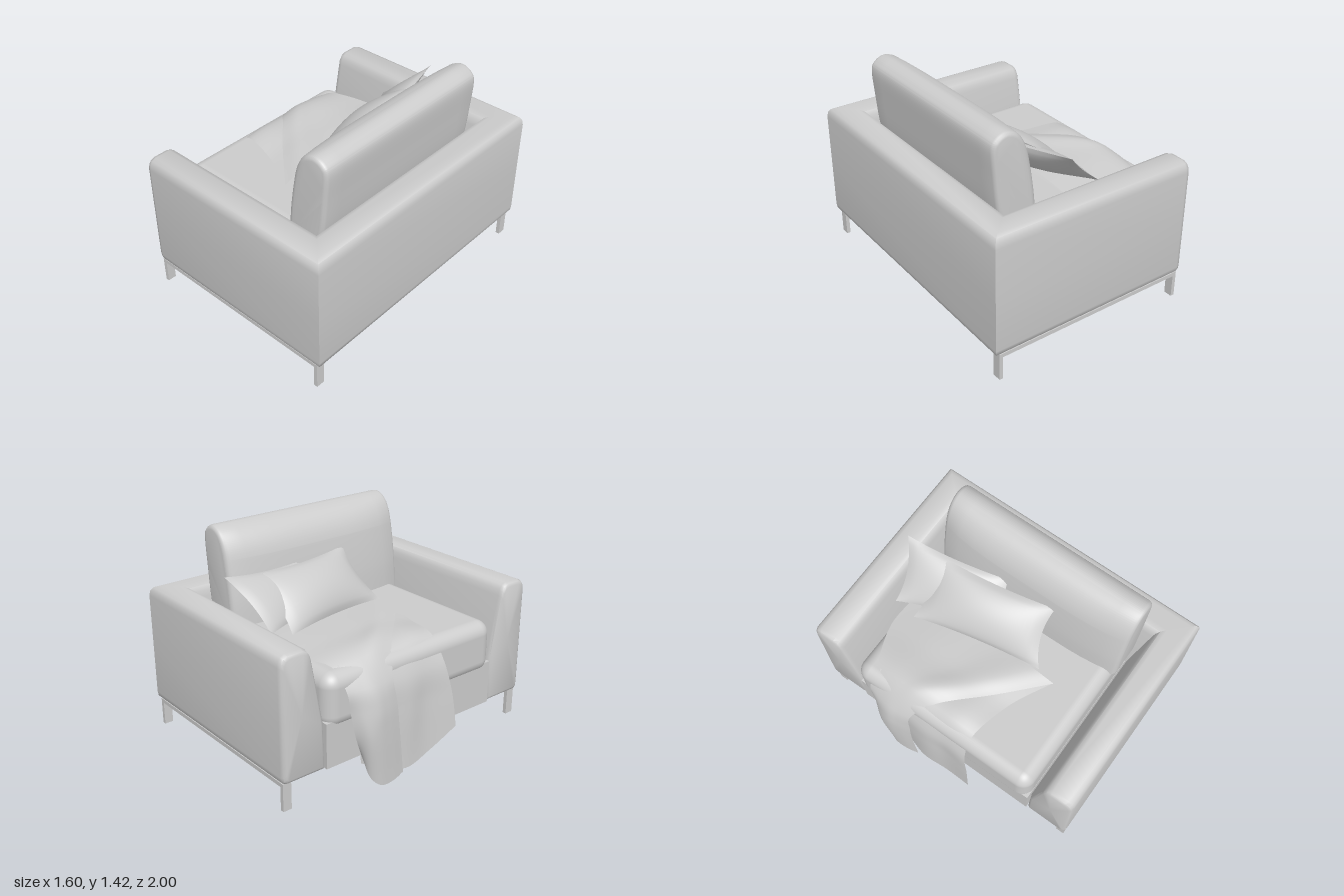
import * as THREE from 'three';
import { toCreasedNormals } from 'three/addons/utils/BufferGeometryUtils.js';
import { RoundedBoxGeometry } from 'three/addons/geometries/RoundedBoxGeometry.js';

const grey = new THREE.MeshStandardMaterial({ color: 0xcccccc, side: THREE.DoubleSide });
grey.name = 'grey fabric';

// Smooth surface through a grid of points given by fn(i, j)
function gridGeometry(ni, nj, fn) {
  const pos = [], index = [];
  for (let i = 0; i <= ni; i++) for (let j = 0; j <= nj; j++) pos.push(...fn(i, j));
  for (let i = 0; i < ni; i++) for (let j = 0; j < nj; j++) {
    const a = i * (nj + 1) + j, d = a + nj + 1;
    index.push(a, a + 1, d + 1, a, d + 1, d);
  }
  const g = new THREE.BufferGeometry();
  g.setAttribute('position', new THREE.Float32BufferAttribute(pos, 3));
  g.setIndex(index);
  g.computeVertexNormals();
  return g;
}

// Cloth sheet splined through rows of [x, y, z] points
function cloth(rows, ni = 36, nj = 28) {
  const curves = rows.map(r => new THREE.CatmullRomCurve3(r.map(p => new THREE.Vector3(...p))));
  const cols = [];
  for (let j = 0; j <= nj; j++) cols.push(new THREE.CatmullRomCurve3(curves.map(c => c.getPoint(j / nj))));
  return gridGeometry(ni, nj, (i, j) => cols[j].getPoint(i / ni).toArray());
}

// Puffed cushion between four corners, with sides pinched inward
function pillow(corners, puff) {
  const c = corners.map(p => new THREE.Vector3(...p));
  const normal = c[1].clone().sub(c[3]).cross(c[2].clone().sub(c[0])).normalize();
  const n = 20;
  const side = s => gridGeometry(n, n, (i, j) => {
    const u0 = i / n * 2 - 1, v0 = j / n * 2 - 1;
    const u = (u0 * (1 - 0.1 * (1 - v0 * v0)) + 1) / 2, v = (v0 * (1 - 0.1 * (1 - u0 * u0)) + 1) / 2;
    const p = c[0].clone().lerp(c[1], u).lerp(c[3].clone().lerp(c[2], u), v);
    return p.addScaledVector(normal, s * puff * Math.pow((1 - u0 * u0) * (1 - v0 * v0), 0.7)).toArray();
  });
  return [side(1), side(-1)];
}

export function createModel() {
  const model = new THREE.Group();
  const add = (name, geometry, x = 0, y = 0, z = 0) => {
    const m = new THREE.Mesh(geometry, grey);
    m.name = name;
    m.position.set(x, y, z);
    model.add(m);
  };

  // Arms and back: one profile (inset, height) swept round a mitred U
  const profile = [[0.02, 0.185], [0.004, 0.2], [0, 0.23], [0, 0.58], [0, 0.93], [0.006, 0.965], [0.022, 0.988],
    [0.05, 1], [0.16, 1], [0.19, 0.988], [0.21, 0.96], [0.22, 0.92], [0.3, 0.5], [0.31, 0.185], [0.02, 0.185]];
  const end = [[-0.665, 1], [-0.665, 0.16], [-0.655, 0.05], [-0.63, 0]];
  const stations = [
    ...end.map(([x, k]) => ({ x, k, s: -1 })),
    { corner: true, k: 0, s: -1 }, { corner: true, k: 0, s: 1 },
    ...end.slice().reverse().map(([x, k]) => ({ x, k, s: 1 }))];
  const body = gridGeometry(stations.length - 1, profile.length - 1, (i, j) => {
    const { x, k, s, corner } = stations[i];
    const d = profile[j][0] + (0.14 - profile[j][0]) * k;
    const y = profile[j][1] + (0.59 - profile[j][1]) * (k === 1 ? 1 : k * 0.4);
    return [corner ? 0.8 - d : x, y, s * (1 - d)];
  });
  add('armsAndBack', toCreasedNormals(body, 0.8));

  // Seat base and cushion
  add('seatBase', new THREE.BoxGeometry(1.235, 0.3, 1.38), -0.0525, 0.337, 0);
  add('seatCushion', new RoundedBoxGeometry(1.23, 0.36, 1.38, 6, 0.09), -0.07, 0.605, 0);

  // Back cushion: leaning outline with a front that swells in the middle
  const outline = new THREE.Shape();
  outline.moveTo(0.31, 0.76);
  outline.splineThru([[0.325, 0.95], [0.355, 1.15], [0.385, 1.28], [0.43, 1.36], [0.49, 1.39], [0.545, 1.37],
    [0.567, 1.32], [0.555, 1.15], [0.535, 0.95], [0.5, 0.76]].map(p => new THREE.Vector2(...p)));
  const back = new THREE.ExtrudeGeometry(outline, {
    depth: 1.34, steps: 12, curveSegments: 40, bevelThickness: 0.03, bevelSize: 0.028, bevelSegments: 3 });
  back.translate(0, 0, -0.66);
  const bp = back.attributes.position;
  for (let i = 0; i < bp.count; i++) {
    const front = THREE.MathUtils.clamp((0.46 - bp.getX(i)) / 0.12, 0, 1);
    const across = Math.max(0, 1 - ((bp.getZ(i) - 0.01) / 0.7) ** 4);
    bp.setX(i, bp.getX(i) - 0.05 * front * across);
  }
  add('backCushion', toCreasedNormals(back, 0.7));

  // Metal rails and legs under both arms
  for (const s of [-1, 1]) {
    add('rail', new THREE.BoxGeometry(1.41, 0.027, 0.06), 0.065, 0.173, s * 0.96);
    for (const x of [-0.627, 0.757])
      add('leg', new THREE.BoxGeometry(0.026, 0.175, 0.06), x, 0.0875, s * 0.96);
  }

  // Loose pillows leaning on the back cushion
  const pillows = {
    frontPillow: [[[-0.19, 0.86, -0.57], [0, 0.83, 0.3], [0.29, 1.15, 0.21], [0.16, 1.16, -0.62]], 0.085],
    rearPillow: [[[-0.18, 0.9, -0.72], [0.1, 0.85, 0], [0.29, 1.12, -0.15], [0.14, 1.2, -0.83]], 0.06],
  };
  for (const [name, [corners, puff]] of Object.entries(pillows))
    for (const g of pillow(corners, puff)) add(name, g);

  // Folded throw: lower layer, then the upper layer turned over it
  add('throwLowerLayer', cloth([
    [[-0.7, 0.15, -0.45], [-0.72, 0.08, -0.3], [-0.76, 0.025, -0.13], [-0.76, 0.08, 0.07], [-0.78, 0.19, 0.28]],
    [[-0.7, 0.42, -0.48], [-0.72, 0.42, -0.3], [-0.745, 0.42, -0.1], [-0.73, 0.42, 0.06], [-0.755, 0.42, 0.26]],
    [[-0.695, 0.64, -0.52], [-0.7, 0.64, -0.3], [-0.71, 0.64, -0.1], [-0.705, 0.64, 0.06], [-0.71, 0.64, 0.22]],
    [[-0.6, 0.787, -0.54], [-0.6, 0.795, -0.3], [-0.6, 0.8, -0.1], [-0.6, 0.805, 0.06], [-0.6, 0.79, 0.21]],
    [[-0.3, 0.79, -0.62], [-0.3, 0.8, -0.35], [-0.3, 0.805, -0.1], [-0.3, 0.815, 0.1], [-0.3, 0.79, 0.28]],
    [[-0.02, 0.79, -0.62], [-0.02, 0.795, -0.3], [-0.02, 0.8, 0], [-0.02, 0.81, 0.25], [-0.02, 0.795, 0.42]],
  ]));
  add('throwUpperLayer', cloth([
    [[-0.71, 0.21, -0.455], [-0.76, 0.06, -0.42], [-0.79, 0.005, -0.36], [-0.79, 0.002, -0.26], [-0.775, 0.02, -0.17]],
    [[-0.72, 0.36, -0.51], [-0.78, 0.35, -0.45], [-0.795, 0.35, -0.38], [-0.785, 0.35, -0.29], [-0.765, 0.35, -0.2]],
    [[-0.71, 0.52, -0.54], [-0.755, 0.52, -0.47], [-0.78, 0.52, -0.38], [-0.77, 0.52, -0.3], [-0.75, 0.52, -0.21]],
    [[-0.7, 0.66, -0.56], [-0.72, 0.66, -0.47], [-0.735, 0.66, -0.38], [-0.73, 0.66, -0.3], [-0.72, 0.66, -0.22]],
    [[-0.58, 0.79, -0.58], [-0.58, 0.81, -0.46], [-0.58, 0.825, -0.35], [-0.58, 0.835, -0.24], [-0.58, 0.81, -0.11]],
    [[-0.3, 0.785, -0.68], [-0.3, 0.82, -0.4], [-0.3, 0.83, -0.15], [-0.3, 0.845, 0.03], [-0.3, 0.815, 0.17]],
    [[-0.02, 0.785, -0.67], [-0.02, 0.815, -0.35], [-0.02, 0.825, 0], [-0.02, 0.84, 0.27], [-0.02, 0.81, 0.43]],
  ]));

  return model;
}
